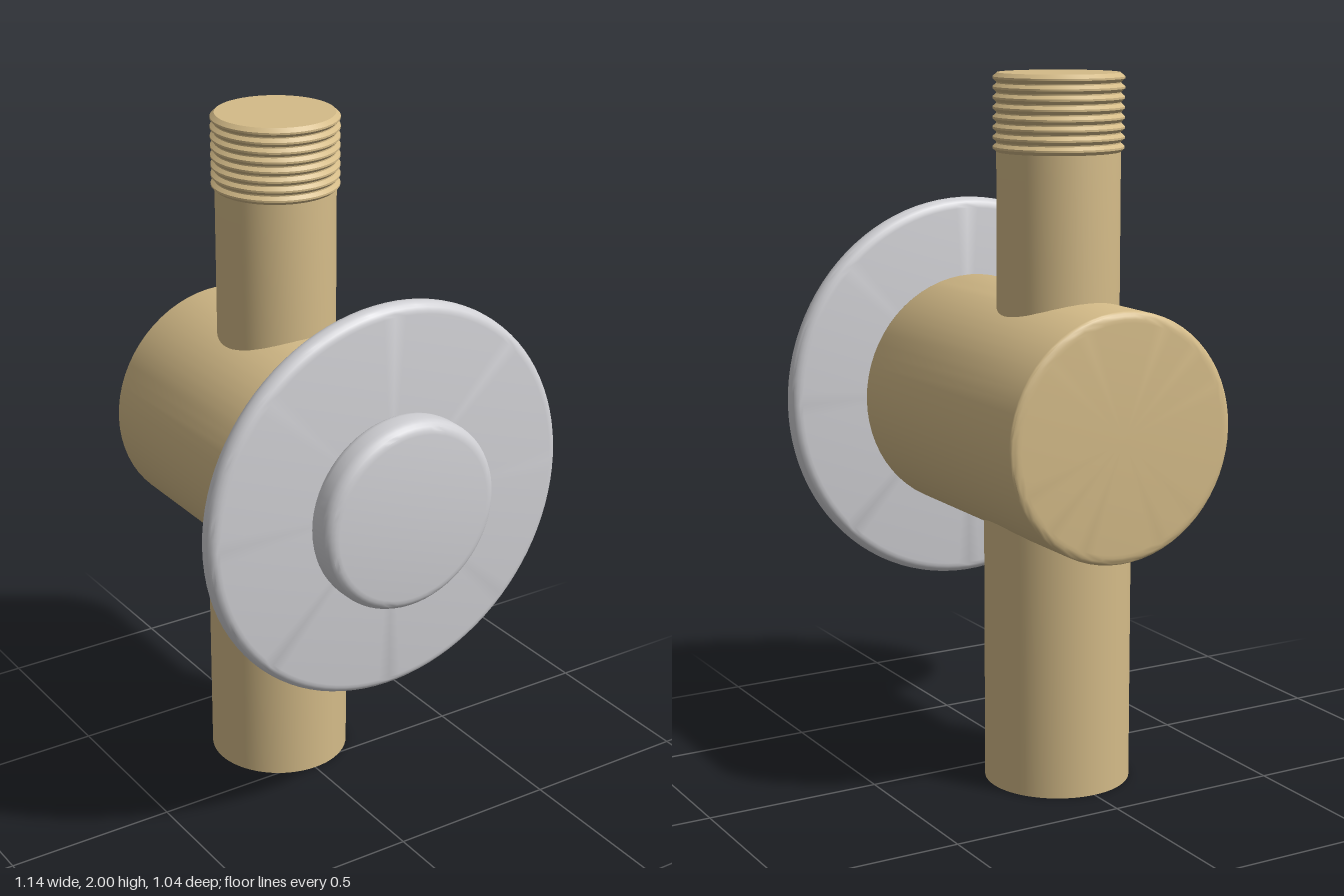
import * as THREE from 'three';
import { toCreasedNormals } from 'three/addons/utils/BufferGeometryUtils.js';

const brass = new THREE.MeshStandardMaterial({ color: 0xd4bb88 });
brass.name = 'brass';
const chrome = new THREE.MeshStandardMaterial({ color: 0xd0d0d4 });
chrome.name = 'chrome';

const BODY_Y = 1.045; // height of the horizontal axis
const PIPE_Z = -0.175; // depth of the vertical pipes

// Turned part around the y axis from [radius, height] pairs
function turned(name, profile, material, segments = 64) {
  const points = profile.map(([r, y]) => new THREE.Vector2(r, y));
  const geometry = toCreasedNormals(new THREE.LatheGeometry(points, segments), 0.6);
  const mesh = new THREE.Mesh(geometry, material);
  mesh.name = name;
  return mesh;
}

// Solid disc profile with rounded rims; rr and ry are the radial and axial rim sizes
function roundedDisc(radius, from, to, rr, ry, steps = 5) {
  const lower = [], upper = [];
  for (let i = 0; i <= steps; i++) {
    const a = (i / steps) * Math.PI / 2;
    const s = Math.sin(a), c = Math.cos(a);
    lower.push([radius - rr + rr * s, from + ry - ry * c]);
    upper.push([radius - rr + rr * c, to - ry + ry * s]);
  }
  return [[0, from], ...lower, ...upper, [0, to]];
}

// Turned part lying along the z axis
function facingFront(name, profile, material, segments) {
  const mesh = turned(name, profile, material, segments);
  mesh.geometry.rotateX(Math.PI / 2);
  mesh.position.y = BODY_Y;
  return mesh;
}

export function createModel() {
  const model = new THREE.Group();
  model.name = 'wallValve';

  // Horizontal valve body, cover plate and push button
  model.add(
    facingFront('valveBody', roundedDisc(0.345, -0.52, 0.345, 0.03, 0.014), brass),
    facingFront('coverPlate', roundedDisc(0.57, 0.348, 0.414, 0.03, 0.03), chrome, 96),
    facingFront('pushButton', roundedDisc(0.275, 0.416, 0.52, 0.035, 0.035), chrome)
  );

  // Lower pipe with an open bore
  const lowerPipe = turned('lowerPipe',
    [[0, 0.69], [0.168, 0.69], [0.168, 0], [0.207, 0], [0.207, 0.9]], brass);

  // Upper pipe
  const upperPipe = turned('upperPipe',
    [[0.17, 1.2], [0.17, 1.97], [0.168, 2], [0, 2]], brass);

  // Threaded end: a row of sharp ridges
  const ridges = 8, bottom = 1.785, pitch = (2 - bottom) / ridges;
  const ridgeProfile = [[0.168, bottom]];
  for (let i = 0; i < ridges; i++) {
    const y = bottom + i * pitch;
    ridgeProfile.push([0.18, y + pitch * 0.4], [0.18, y + pitch * 0.6], [0.168, y + pitch]);
  }
  const thread = turned('thread', ridgeProfile, brass);

  for (const part of [lowerPipe, upperPipe, thread]) {
    part.position.z = PIPE_Z;
    model.add(part);
  }
  return model;
}
